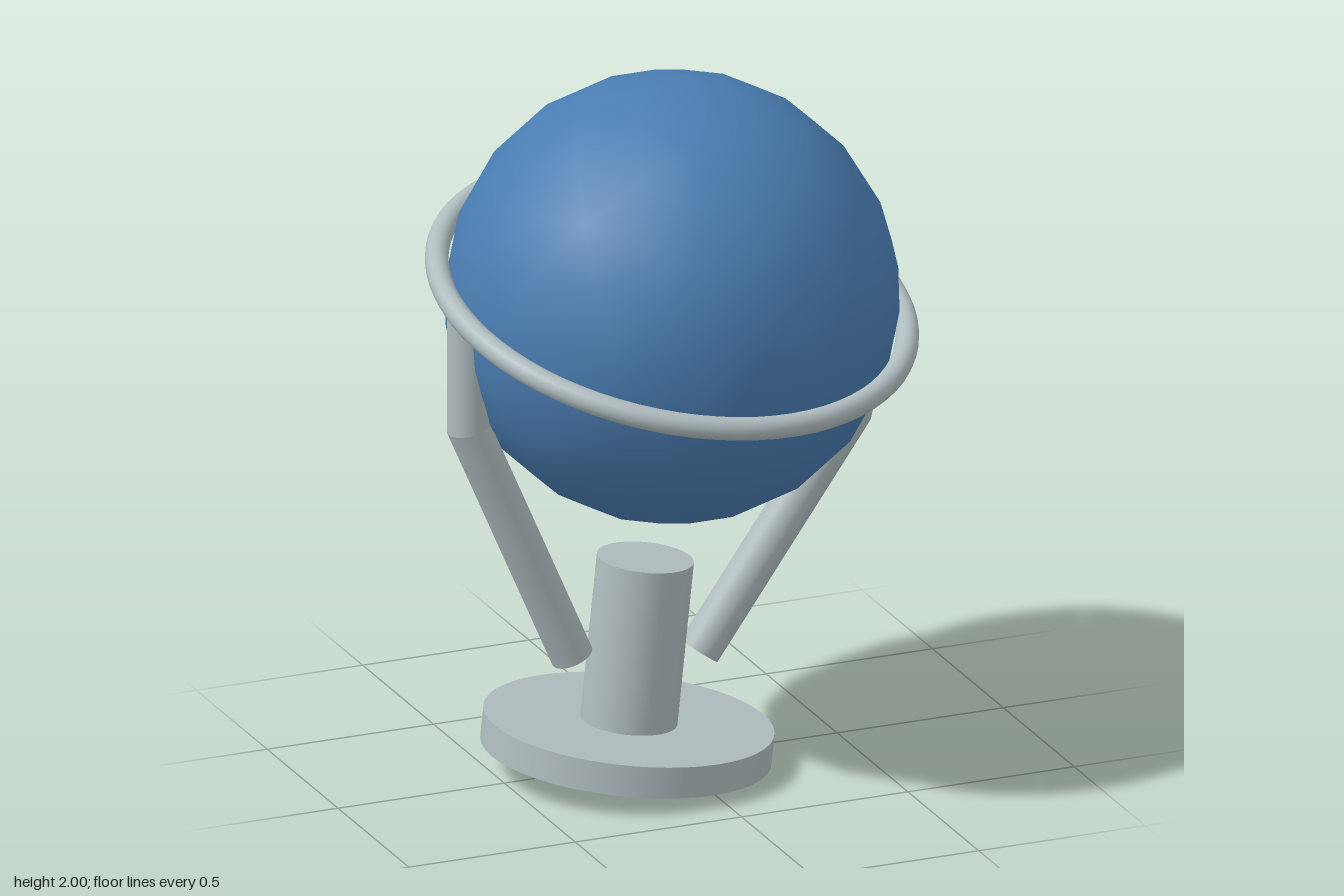
import * as THREE from 'three';

const rad = THREE.MathUtils.degToRad;

export function createModel() {
  const model = new THREE.Group();
  model.name = 'globeOnStand';
  const blue = new THREE.MeshStandardMaterial({ name: 'ball blue', color: 0x4a7db2 });
  const grey = new THREE.MeshStandardMaterial({ name: 'stand grey', color: 0xb0bcbf });

  // The whole piece leans sideways on its foot
  const tilted = new THREE.Group();
  tilted.name = 'tiltedAssembly';
  tilted.position.set(-0.135, 0.042, 0);
  tilted.rotation.z = rad(-6);
  model.add(tilted);

  const add = (parent, name, geometry, material, y = 0) => {
    const mesh = new THREE.Mesh(geometry, material);
    mesh.name = name;
    mesh.position.y = y;
    parent.add(mesh);
    return mesh;
  };

  // Foot disc and column
  add(tilted, 'base', new THREE.CylinderGeometry(0.405, 0.405, 0.09, 48), grey, 0.045);
  add(tilted, 'column', new THREE.CylinderGeometry(0.135, 0.135, 0.48, 40), grey, 0.325);

  // Ball
  const ballGeometry = new THREE.IcosahedronGeometry(0.635, 3);
  ballGeometry.rotateZ(rad(31.717));
  add(tilted, 'ball', ballGeometry, blue, 1.329);

  // Ring, dipping towards the front
  const ringGeometry = new THREE.TorusGeometry(0.663, 0.033, 16, 72);
  ringGeometry.rotateX(Math.PI / 2);
  add(tilted, 'ring', ringGeometry, grey, 1.329).rotation.x = rad(14.4);

  // Arms: two straight rods mitred together at an elbow
  const end = new THREE.Vector2(0.192, 0.285);
  const elbow = new THREE.Vector2(0.577, 0.969);
  const top = new THREE.Vector2(0.612, 1.3);
  const lean = (a, b) => Math.atan2(b.x - a.x, b.y - a.y);
  const mitre = Math.tan((lean(end, elbow) - lean(elbow, top)) / 2);

  const rod = (a, b, slopeBottom, slopeTop) => {
    const geometry = new THREE.CylinderGeometry(0.06, 0.06, a.distanceTo(b), 32);
    const p = geometry.attributes.position;
    for (let i = 0; i < p.count; i++) {
      const slope = p.getY(i) > 0 ? slopeTop : slopeBottom;
      p.setY(i, p.getY(i) + p.getX(i) * slope);
    }
    geometry.rotateZ(-lean(a, b));
    geometry.translate((a.x + b.x) / 2, (a.y + b.y) / 2, 0);
    return geometry;
  };

  for (const [name, turn] of [['leftArm', 0], ['rightArm', Math.PI]]) {
    const arm = new THREE.Group();
    arm.name = name;
    arm.rotation.y = turn;
    add(arm, 'lowerRod', rod(end, elbow, 0, mitre), grey);
    add(arm, 'upperRod', rod(elbow, top, -mitre, 0), grey);
    tilted.add(arm);
  }

  return model;
}
